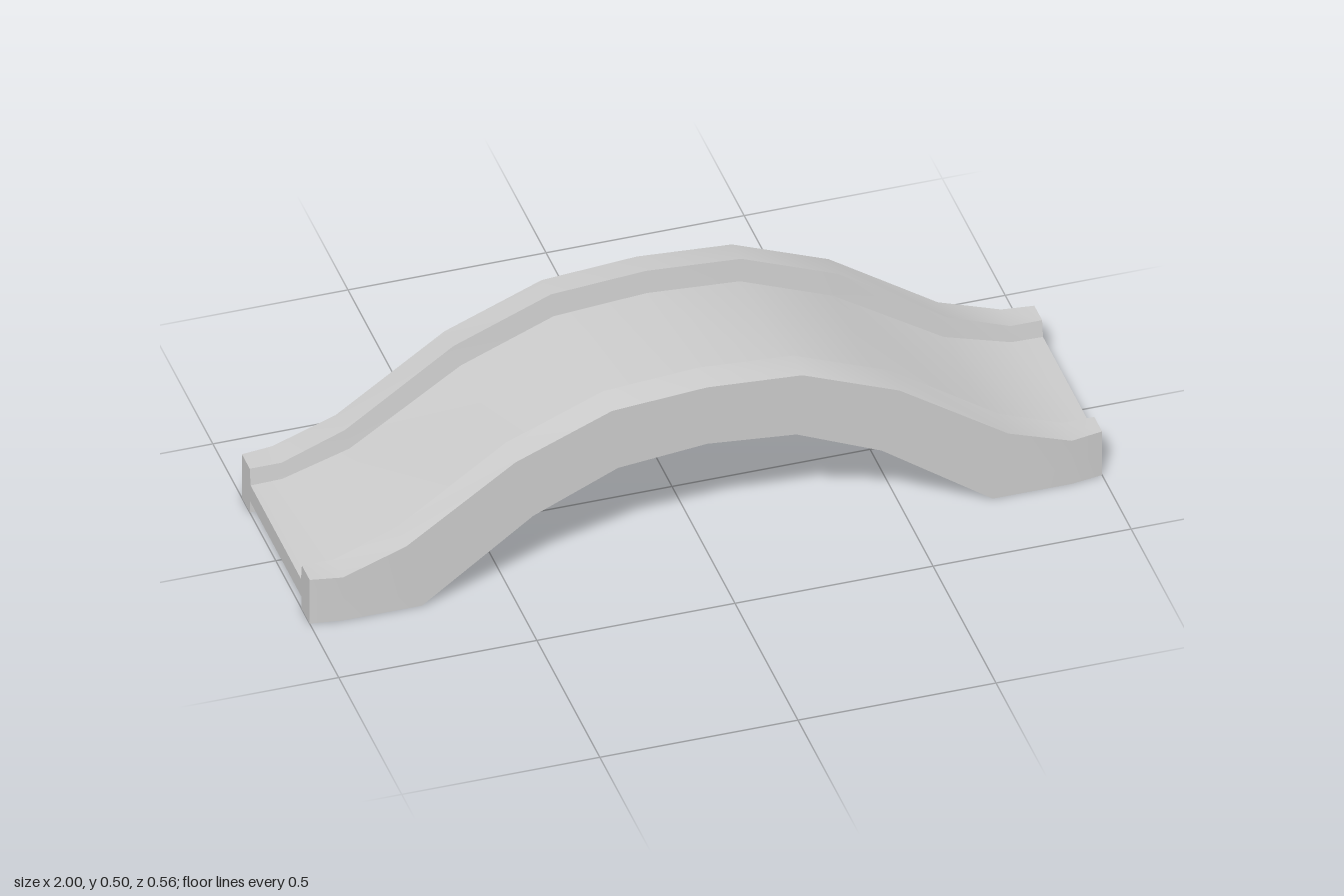
import * as THREE from 'three';
import { toCreasedNormals } from 'three/addons/utils/BufferGeometryUtils.js';

const material = new THREE.MeshStandardMaterial({ color: 0xcccccc });

// Half profiles [x, y] from the crown to the foot, one entry per station
const RAIL_TOP = [[0, 0.498], [0.24, 0.481], [0.485, 0.382], [0.76, 0.192], [0.92, 0.13], [1, 0.13]];
const RAIL_BOTTOM = [[0, 0.322], [0.225, 0.3], [0.44, 0.205], [0.72, 0], [0.92, 0], [1, 0]];
const DECK_TOP = [[0, 0.437], [0.235, 0.42], [0.47, 0.325], [0.75, 0.14], [0.92, 0.087], [1, 0.085]];
const DECK_BOTTOM = [[0, 0.385], [0.23, 0.366], [0.455, 0.27], [0.73, 0.085], [0.92, 0.037], [1, 0.035]];
const RAIL_DROP = [0.008, 0.008, 0.008, 0.007, 0.002, 0]; // outward fall of the rail top
const OUTER_Z = [0.28, 0.28, 0.281, 0.281, 0.281, 0.269];

// Mirrored stations: section(k, sx) returns the cross-section points
function makeRings(section) {
  const rings = [];
  for (let i = -5; i <= 5; i++) rings.push(section(Math.abs(i), Math.sign(i)));
  return rings;
}

// Skins the rings and caps both ends; skipped sides lie inside the joint
function loft(name, rings, skip) {
  const pos = [];
  const tri = (...points) => points.forEach((p) => pos.push(...p));
  const n = rings[0].length;
  for (let i = 0; i < rings.length - 1; i++) {
    for (let j = 0; j < n; j++) {
      if (skip.includes(j)) continue;
      const k = (j + 1) % n;
      const a = rings[i][j], b = rings[i][k], c = rings[i + 1][k], d = rings[i + 1][j];
      tri(a, b, c);
      tri(a, c, d);
    }
  }
  [rings[0], rings[rings.length - 1]].forEach((ring, end) => {
    const loop = [...ring].reverse();
    const contour = loop.map(([, y, z]) => new THREE.Vector2(z, y));
    for (const [a, b, c] of THREE.ShapeUtils.triangulateShape(contour, [])) {
      if (end) tri(loop[a], loop[c], loop[b]);
      else tri(loop[a], loop[b], loop[c]);
    }
  });
  const geometry = new THREE.BufferGeometry();
  geometry.setAttribute('position', new THREE.Float32BufferAttribute(pos, 3));
  const mesh = new THREE.Mesh(toCreasedNormals(geometry, 0.5), material);
  mesh.name = name;
  return mesh;
}

export function createModel() {
  const group = new THREE.Group();
  group.name = 'archedBridge';
  const at = (profile, k, s, z, drop = 0) => [s * profile[k][0], profile[k][1] - drop, z];

  // Curved walkway
  const deckRings = makeRings((k, s) => [
    at(DECK_TOP, k, s, -0.2), at(DECK_TOP, k, s, 0.2),
    at(DECK_BOTTOM, k, s, 0.206), at(DECK_BOTTOM, k, s, -0.206),
  ]);
  group.add(loft('deck', deckRings, [1, 3]));

  // Side walls, with a slightly sloped cap and tapered inner face
  const railRings = makeRings((k, s) => [
    at(DECK_TOP, k, s, 0.2),
    at(RAIL_TOP, k, s, 0.207),
    at(RAIL_TOP, k, s, OUTER_Z[k], RAIL_DROP[k]),
    at(RAIL_BOTTOM, k, s, OUTER_Z[k]),
    at(RAIL_BOTTOM, k, s, 0.206),
    at(DECK_BOTTOM, k, s, 0.206),
  ]);
  const frontRail = loft('frontSideWall', railRings, [5]);
  const backRail = frontRail.clone();
  backRail.name = 'backSideWall';
  backRail.rotation.y = Math.PI;
  group.add(frontRail, backRail);

  return group;
}
